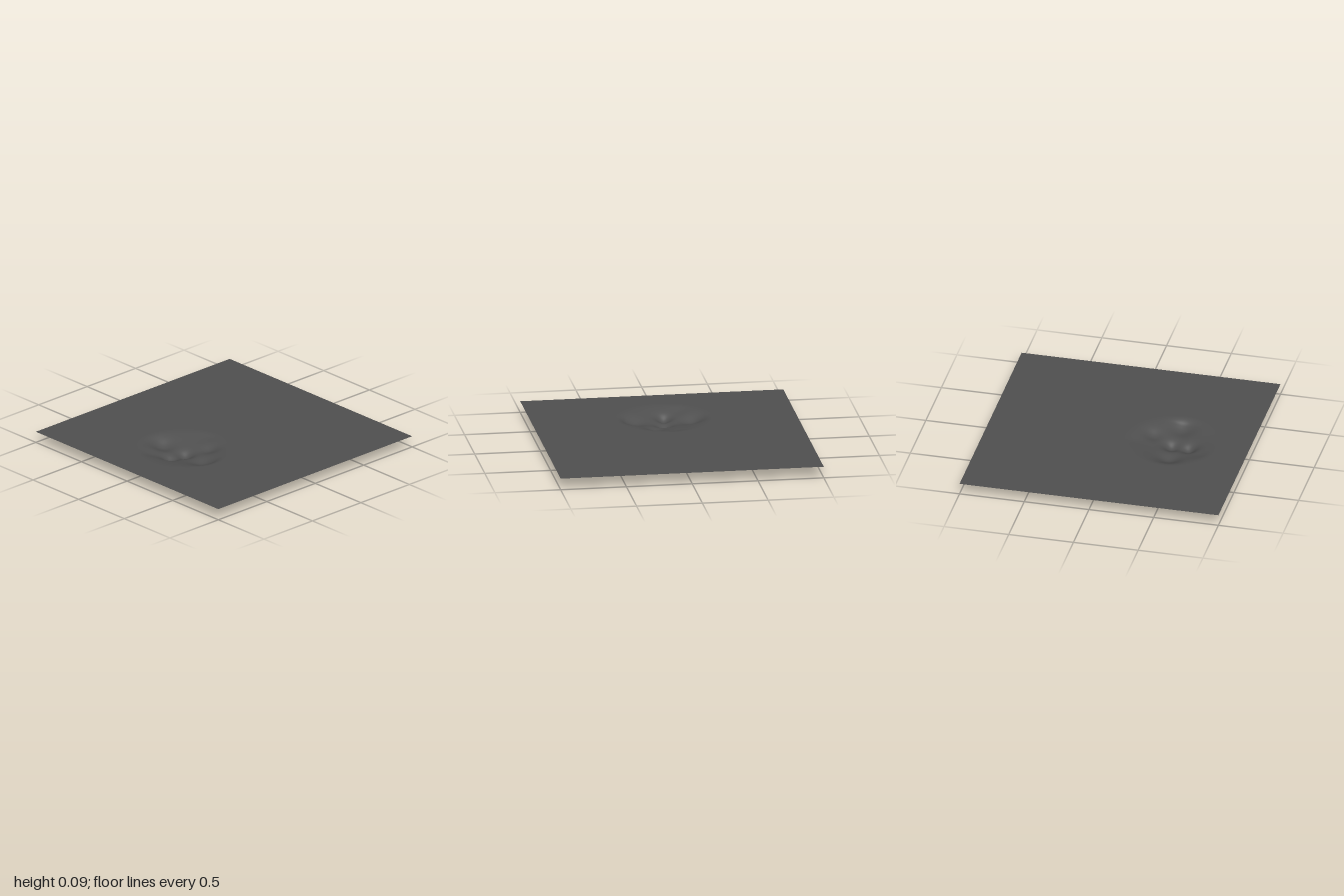
import * as THREE from 'three';

const GROUND_Y = 0.09;

// small hollows inside the main bowl: x, z, extra depth, radius
const hollows = [
  [0, 0.4, 0.042, 0.065],
  [-0.02, 0.54, 0.042, 0.06],
  [-0.22, 0.43, 0.037, 0.09],
  [0.23, 0.43, 0.035, 0.095],
  [0.09, 0.235, 0.022, 0.07],
  [-0.13, 0.62, 0.01, 0.07],
  [-0.05, 0.13, 0.006, 0.08],
];

// depth of the depression below the flat ground
function depthAt(x, z) {
  const r2 = ((x + 0.01) ** 2 + (z - 0.41) ** 2) / 0.37 ** 2;
  const fade = Math.max(0, 1 - r2);
  let depth = 0.045 * fade ** 2;
  for (const [cx, cz, d, s] of hollows) {
    depth += d * Math.exp(-((x - cx) ** 2 + (z - cz) ** 2) / (s * s)) * Math.min(1, fade * 3);
  }
  return Math.min(depth, GROUND_Y);
}

export function createModel() {
  const group = new THREE.Group();
  group.name = 'crateredGround';
  const darkGrey = new THREE.MeshStandardMaterial({ color: 0x505050, side: THREE.DoubleSide });
  darkGrey.name = 'dark grey';

  // flat square sheet pressed down into a lumpy crater
  const geometry = new THREE.PlaneGeometry(2, 2, 180, 180).rotateX(-Math.PI / 2);
  const pos = geometry.attributes.position;
  for (let i = 0; i < pos.count; i++) {
    pos.setY(i, GROUND_Y - depthAt(pos.getX(i), pos.getZ(i)));
  }
  geometry.computeVertexNormals();

  const ground = new THREE.Mesh(geometry, darkGrey);
  ground.name = 'ground';
  group.add(ground);
  return group;
}
